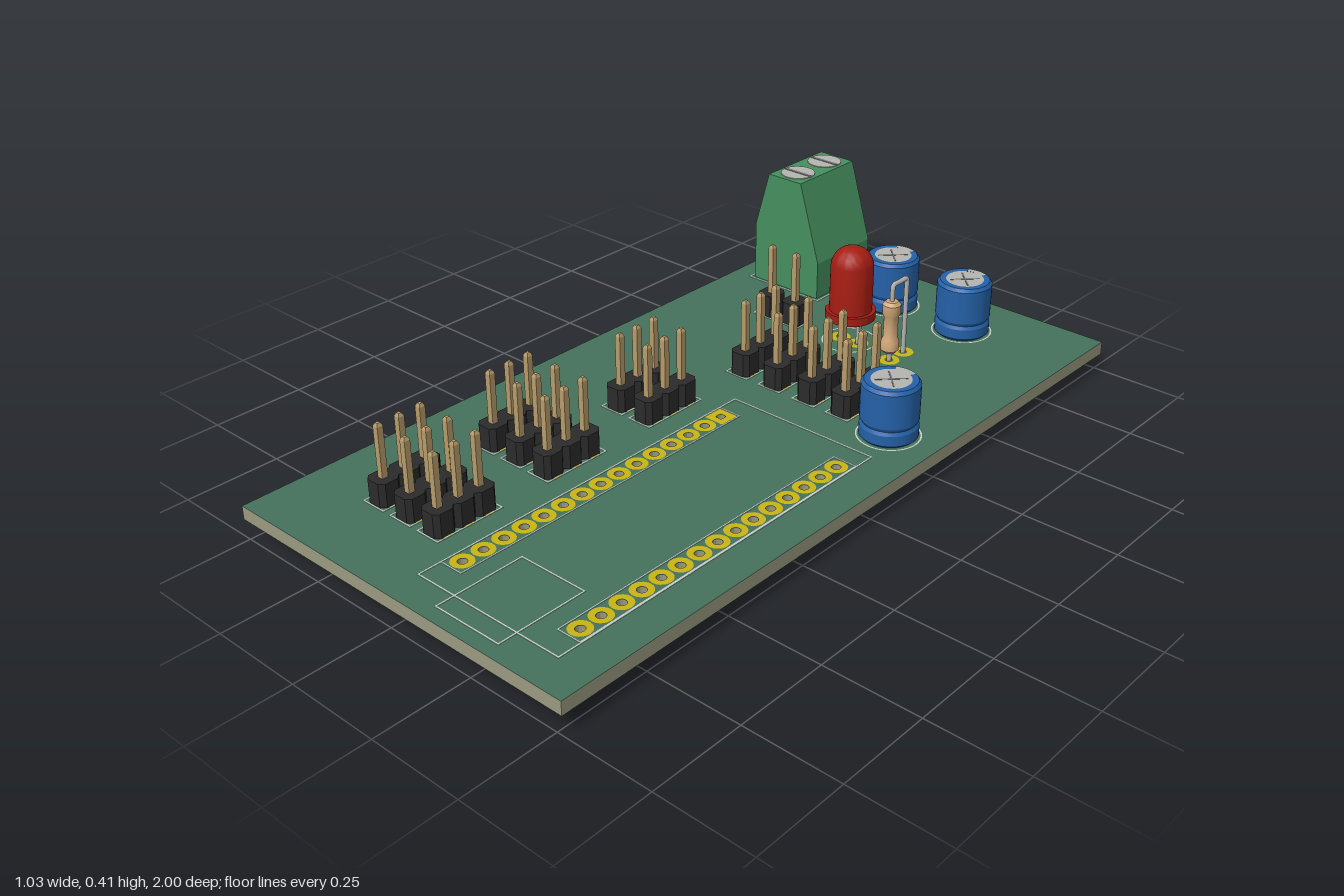
import * as THREE from 'three';
import { toCreasedNormals } from 'three/addons/utils/BufferGeometryUtils.js';

const TOP = 0.083, BOTTOM = 0.047;
const mat = (color, extra = {}) => new THREE.MeshStandardMaterial({ color, ...extra });
const M = {
  green: mat(0x44705c), edge: mat(0x9a9a80), silk: mat(0xc4cec8),
  pad: mat(0xc8b414, { side: THREE.DoubleSide }), black: mat(0x2b2b2b),
  brass: mat(0xb89c6a, { flatShading: true }), metal: mat(0xb4b4b0), dark: mat(0x707070),
  blue: mat(0x2461a8), red: mat(0xa51d13), tan: mat(0xd2a878), terminal: mat(0x468f5e),
};

export function createModel() {
  const root = new THREE.Group();

  function add(parent, name, geo, material, x = 0, y = 0, z = 0) {
    const m = new THREE.Mesh(geo, material);
    m.name = name;
    m.position.set(x, y, z);
    parent.add(m);
    return m;
  }
  function group(name, x = 0, y = 0, z = 0) {
    const g = new THREE.Group();
    g.name = name;
    g.position.set(x, y, z);
    root.add(g);
    return g;
  }
  const box = (w, h, d) => new THREE.BoxGeometry(w, h, d);
  const vecs = (pts) => pts.map(([x, y]) => new THREE.Vector2(x, y));
  const lathe = (pts, seg = 32, start = 0, len = Math.PI * 2) =>
    toCreasedNormals(new THREE.LatheGeometry(vecs(pts), seg, start, len), 0.5);
  // extrude a plan outline upwards
  const slab = (shape, h, seg = 24) => new THREE.ExtrudeGeometry(shape,
    { depth: h, bevelEnabled: false, curveSegments: seg }).rotateX(-Math.PI / 2);

  // copper pads on both faces of the board
  const pads = group('pads');
  const padGeo = new THREE.RingGeometry(0.012, 0.028, 20).rotateX(-Math.PI / 2);
  const squareGeo = new THREE.RingGeometry(0.014, 0.04, 4, 1, Math.PI / 4).rotateX(-Math.PI / 2);
  function pad(x, z, stretch = 1, geo = padGeo) {
    for (const y of [TOP + 0.001, BOTTOM - 0.001])
      add(pads, 'pad', geo, M.pad, x, y, z).scale.x = stretch;
  }

  // printed outlines
  const silk = group('printedOutlines');
  function frame(x0, x1, z0, z1, t = 0.004) {
    const y = TOP + 0.0005, w = x1 - x0, d = z1 - z0;
    for (const z of [z0, z1]) add(silk, 'outline', box(w + t, 0.001, t), M.silk, (x0 + x1) / 2, y, z);
    for (const x of [x0, x1]) add(silk, 'outline', box(t, 0.001, d), M.silk, x, y, (z0 + z1) / 2);
  }
  frame(-0.01, 0.415, -0.11, 0.91);
  frame(0.105, 0.295, 0.72, 0.96);

  // board with two rows of through holes
  const outline = new THREE.Shape(vecs([[-0.515, -1], [0.515, -1], [0.515, 1], [-0.515, 1]]));
  for (const x of [0.022, 0.38]) {
    for (let i = 0; i < 15; i++) {
      const z = -0.02 + i * 0.0597;
      outline.holes.push(new THREE.Path().absarc(x, -z, 0.012, 0, Math.PI * 2, true));
      pad(x, z, 1, x < 0.1 && i === 0 ? squareGeo : padGeo);
    }
    frame(x - 0.032, x + 0.032, -0.052, 0.848, 0.003);
  }
  add(root, 'board', slab(outline, TOP - BOTTOM, 6), [M.green, M.edge], 0, BOTTOM, 0);

  // pin headers: chamfered block and square pin with tapered ends
  const c = 0.018, h = 0.03;
  const blockGeo = slab(new THREE.Shape(vecs([[-c, -h], [c, -h], [h, -c], [h, c],
    [c, h], [-c, h], [-h, c], [-h, -c]])), 0.062);
  const pinGeo = new THREE.LatheGeometry(vecs([[0, 0.015], [0.006, 0.015], [0.0115, 0.023],
    [0.0115, 0.277], [0.006, 0.285], [0, 0.285]]), 4, Math.PI / 4);
  function header(x, zc, n) {
    const g = group('pinHeader', x, 0, zc);
    for (let i = 0; i < n; i++) {
      const z = (i - (n - 1) / 2) * 0.06;
      add(g, 'headerBlock', blockGeo, M.black, 0, TOP, z);
      add(g, 'headerPin', pinGeo, M.brass, 0, 0, z);
      pad(x, zc + z, 1.25);
    }
    frame(x - 0.034, x + 0.034, zc - n * 0.03 - 0.004, zc + n * 0.03 + 0.004);
  }
  for (const x of [-0.09, 0.017, 0.128, 0.234]) header(x, -0.302, 3);
  for (const x of [-0.2, -0.107]) header(x, 0.042, 3);
  for (const z of [0.38, 0.71]) for (const x of [-0.293, -0.2, -0.107]) header(x, z, 3);
  for (const x of [-0.26, -0.178]) header(x, -0.553, 1);

  // capacitors: grooved can with a pale stripe on the rear
  const can = [[0, 0], [0.066, 0], [0.073, 0.007], [0.073, 0.034], [0.068, 0.043],
    [0.073, 0.052], [0.073, 0.143], [0.066, 0.152], [0.05, 0.152]];
  const stripe = 0.9;
  const sleeveGeo = lathe(can, 36, Math.PI + stripe / 2, Math.PI * 2 - stripe);
  const stripeGeo = lathe(can, 6, Math.PI - stripe / 2, stripe);
  for (const [x, z] of [[-0.043, -0.81], [0.193, -0.81], [0.38, -0.225]]) {
    const g = group('capacitor', x, TOP, z);
    add(g, 'sleeve', sleeveGeo, M.blue);
    add(g, 'stripe', stripeGeo, M.metal);
    add(g, 'canTop', new THREE.CylinderGeometry(0.052, 0.052, 0.01, 32), M.metal, 0, 0.146, 0);
    for (const a of [0, Math.PI / 2])
      add(g, 'ventScore', box(0.08, 0.001, 0.004), M.dark, 0, 0.1514, 0).rotation.y = a + Math.PI / 4;
    for (const s of [-1, 1]) {
      add(g, 'lead', new THREE.CylinderGeometry(0.006, 0.006, 0.06, 10), M.metal, 0, -0.018, s * 0.03);
      pad(x, z + s * 0.03);
    }
    add(silk, 'outline', new THREE.RingGeometry(0.077, 0.081, 40).rotateX(-Math.PI / 2),
      M.silk, x, TOP + 0.001, z);
  }

  // lamp: domed lens, flange with one flat side, two square leads
  const lamp = group('lamp', 0.004, 0, -0.56);
  const dome = [[0, 0.17], [0.057, 0.17]];
  for (let i = 0; i <= 10; i++) {
    const a = i / 10 * Math.PI / 2;
    dome.push([i === 10 ? 0 : 0.057 * Math.cos(a), 0.3 + 0.057 * Math.sin(a)]);
  }
  add(lamp, 'lens', lathe(dome, 36), M.red);
  const flat = Math.acos(-0.058 / 0.067);
  add(lamp, 'flange', toCreasedNormals(slab(new THREE.Shape().absarc(0, 0, 0.067, -flat, flat, false), 0.023, 36), 0.5),
    M.red, 0, 0.155, 0);
  for (const s of [-1, 1]) {
    add(lamp, 'lead', box(0.01, 0.14, 0.01), M.metal, s * 0.03, 0.095, 0);
    pad(0.004 + s * 0.03, -0.56);
  }
  add(silk, 'outline', new THREE.RingGeometry(0.07, 0.074, 40).rotateX(-Math.PI / 2),
    M.silk, 0.004, TOP + 0.001, -0.56);

  // upright resistor with a bent-over lead
  const res = group('resistor', 0.152, 0, -0.537);
  add(res, 'resistorBody', lathe([[0, 0.107], [0.016, 0.109], [0.024, 0.118], [0.024, 0.142],
    [0.019, 0.153], [0.019, 0.21], [0.024, 0.221], [0.024, 0.246], [0.016, 0.255], [0, 0.257]], 24), M.tan);
  const wire = new THREE.CurvePath();
  const P = (y, z) => new THREE.Vector3(0, y, z);
  wire.add(new THREE.LineCurve3(P(0.015, 0), P(0.275, 0)));
  wire.add(new THREE.CubicBezierCurve3(P(0.275, 0), P(0.306, 0), P(0.299, 0), P(0.299, -0.03)));
  wire.add(new THREE.CubicBezierCurve3(P(0.299, -0.03), P(0.299, -0.062), P(0.306, -0.062), P(0.275, -0.062)));
  wire.add(new THREE.LineCurve3(P(0.275, -0.062), P(0.015, -0.062)));
  add(res, 'resistorLead', new THREE.TubeGeometry(wire, 120, 0.0065, 10), M.metal);
  pad(0.152, -0.537);
  pad(0.152, -0.599);

  // screw terminal: solid walls alternating with slices notched for the wires
  const term = group('screwTerminal', 0, 0, -0.82);
  const upper = [[-0.22, TOP], [-0.22, 0.19], [-0.288, 0.41], [-0.4, 0.41], [-0.445, 0.25]];
  const solid = [...upper, [-0.445, TOP]];
  const notched = [...upper, [-0.445, 0.205], [-0.33, 0.205], [-0.33, 0.1], [-0.445, 0.1], [-0.445, TOP]];
  const cuts = [-0.115, -0.093, -0.018, 0.018, 0.093, 0.118];
  for (let i = 0; i < 5; i++) {
    const geo = new THREE.ExtrudeGeometry(new THREE.Shape(vecs(i % 2 ? notched : solid)),
      { depth: cuts[i + 1] - cuts[i], bevelEnabled: false });
    add(term, i % 2 ? 'wireBay' : 'terminalWall', geo, M.terminal, 0, 0, cuts[i]);
  }
  add(term, 'sideRib', box(0.022, 0.165, 0.014), M.terminal, -0.43, TOP + 0.0825, -0.119);
  for (const s of [-1, 1]) {
    const z = s * 0.059;
    add(term, 'screw', new THREE.CylinderGeometry(0.047, 0.047, 0.02, 28), M.metal, -0.345, 0.402, z);
    add(term, 'screwSlot', box(0.088, 0.002, 0.01), M.dark, -0.345, 0.412, z);
    add(term, 'clampPlate', box(0.006, 0.08, 0.06), M.metal, -0.334, 0.152, z);
    add(term, 'terminalPin', box(0.02, 0.09, 0.02), M.metal, -0.342, 0.045, z);
    pad(-0.342, -0.82 + z, 1.25);
  }
  frame(-0.455, -0.21, -0.945, -0.693);

  return root;
}
